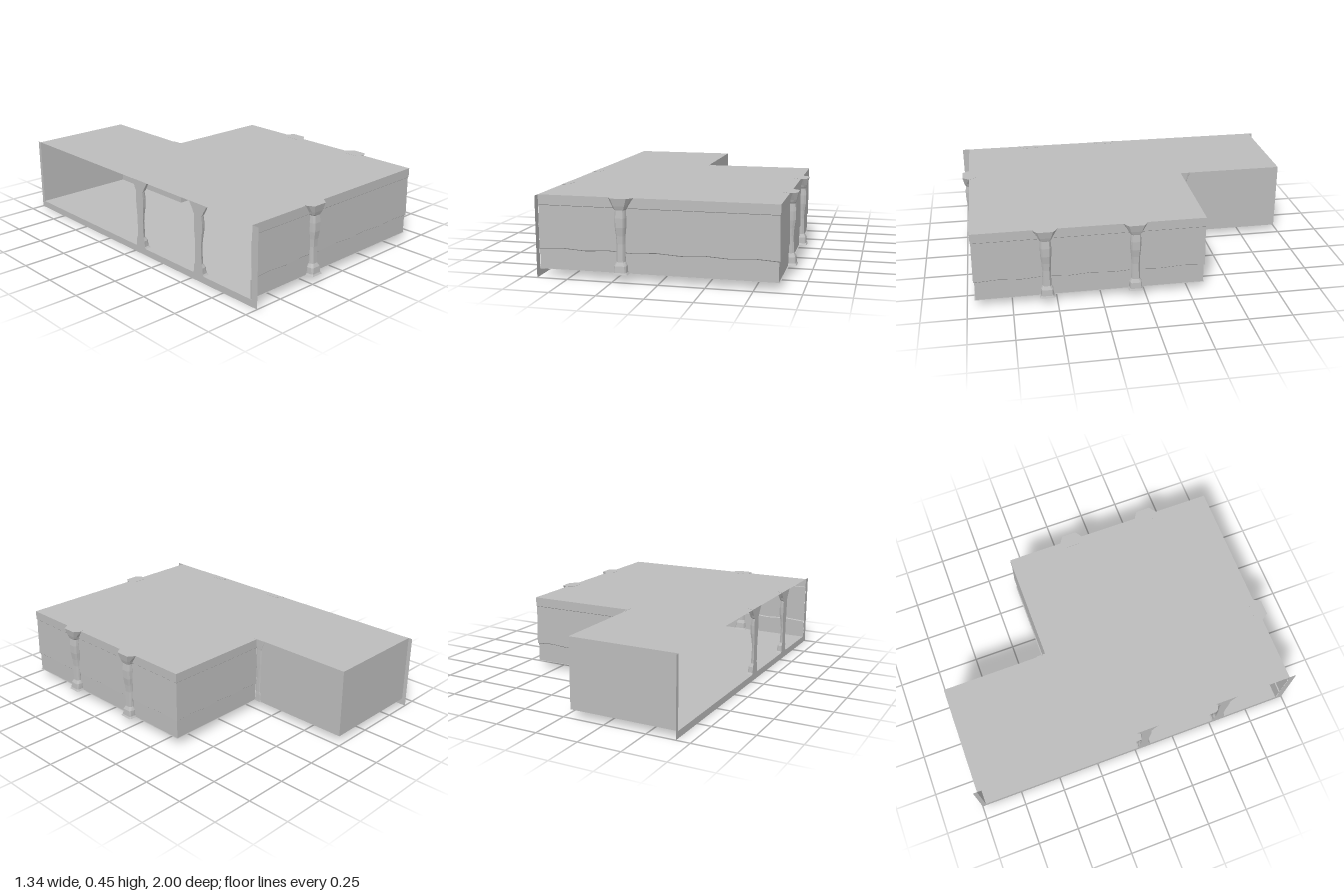
import * as THREE from 'three';

const FLOOR = 0.04, ROOF = 0.445;
const LEFT = -0.67, RIGHT = 0.63, FRONT = 0.958, BACK = -0.345, REAR = -0.976, STEP = -0.03;

// Faceted surface from rows of points: rows are joined by quads, triangles keep flat normals
function skin(rows, closed, capped) {
  const out = [];
  const tri = (a, b, c) => out.push(...a, ...b, ...c);
  for (let r = 0; r < rows.length - 1; r++) {
    const a = rows[r], b = rows[r + 1], n = a.length;
    for (let i = 0; i < (closed ? n : n - 1); i++) {
      const j = (i + 1) % n;
      tri(a[i], a[j], b[j]);
      tri(a[i], b[j], b[i]);
    }
  }
  if (capped) {
    const lo = rows[0], hi = rows[rows.length - 1];
    for (let i = 1; i < lo.length - 1; i++) {
      tri(lo[0], lo[i + 1], lo[i]);
      tri(hi[0], hi[i], hi[i + 1]);
    }
  }
  const g = new THREE.BufferGeometry();
  g.setAttribute('position', new THREE.Float32BufferAttribute(out, 3));
  g.computeVertexNormals();
  return g;
}

// Half column standing against a wall, bulging towards +z
function halfColumn() {
  // height, half width, depth, chamfer
  const levels = [
    [0.04, 0.043, 0.04, 0.006], [0.05, 0.036, 0.034, 0.008], [0.085, 0.035, 0.031, 0.01],
    [0.105, 0.025, 0.021, 0.01], [0.2, 0.024, 0.018, 0.01], [0.245, 0.026, 0.021, 0.01],
    [0.29, 0.031, 0.028, 0.012], [0.34, 0.032, 0.029, 0.012], [0.382, 0.029, 0.024, 0.011],
    [0.39, 0.037, 0.027, 0.012], [0.405, 0.043, 0.032, 0.013], [0.446, 0.07, 0.041, 0.027]
  ];
  const rows = levels.map(([y, w, d, c]) => [
    [-w, y, 0], [-w + c * 0.3, y, d - c], [-w + c, y, d], [w - c, y, d], [w - c * 0.3, y, d - c], [w, y, 0]
  ]);
  return skin(rows, true, true);
}

// Wall ribbon round the front, right side and back, with a wavy ledge and a cornice
function wallRibbon() {
  const corners = [[LEFT, FRONT], [RIGHT, FRONT], [RIGHT, BACK], [STEP, BACK]];
  const normals = [[0, 1], [1, 0], [0, -1]];
  const stations = [];
  for (let s = 0; s < 3; s++) {
    const [a, b] = [corners[s], corners[s + 1]];
    const n = 2 * Math.round(Math.hypot(b[0] - a[0], b[1] - a[1]) / 0.26);
    for (let i = s ? 1 : 0; i <= n; i++) {
      const t = i / n, nrm = [...normals[s]];
      if (i === n && s < 2) { nrm[0] += normals[s + 1][0]; nrm[1] += normals[s + 1][1]; }
      stations.push({ x: a[0] + (b[0] - a[0]) * t, z: a[1] + (b[1] - a[1]) * t, nrm, wave: i % 2 ? 0.157 : 0.149 });
    }
  }
  const row = (height, inset) => stations.map(p =>
    [p.x - p.nrm[0] * inset, height(p), p.z - p.nrm[1] * inset]);
  return skin([
    row(() => FLOOR, 0.006), row(p => p.wave - 0.002, 0.006), row(p => p.wave + 0.003, 0),
    row(() => 0.388, 0.003), row(() => 0.391, 0), row(() => ROOF, 0)
  ], false, false);
}

export function createModel() {
  const group = new THREE.Group();
  const stone = new THREE.MeshStandardMaterial({ color: 0xbcbcbc, side: THREE.DoubleSide });
  stone.name = 'plain grey';
  const add = (name, geometry, x = 0, y = 0, z = 0, turn = 0) => {
    const m = new THREE.Mesh(geometry, stone);
    m.name = name;
    m.position.set(x, y, z);
    m.rotation.y = turn;
    group.add(m);
    return m;
  };
  const shape = pts => new THREE.Shape(pts.map(p => new THREE.Vector2(...p)));

  // L-shaped floor and roof
  const slab = new THREE.ShapeGeometry(shape([
    [LEFT, -FRONT], [RIGHT, -FRONT], [RIGHT, -BACK], [STEP, -BACK], [STEP, -REAR], [LEFT, -REAR]
  ])).rotateX(-Math.PI / 2);
  add('floor', slab, 0, FLOOR);
  add('roof', slab, 0, ROOF);

  // Walls: detailed ribbon, then the two plain walls of the rear wing
  add('detailedWalls', wallRibbon());
  const h = ROOF - FLOOR, mid = (ROOF + FLOOR) / 2;
  add('rearWall', new THREE.PlaneGeometry(STEP - LEFT, h), (STEP + LEFT) / 2, mid, REAR, Math.PI);
  add('wingSideWall', new THREE.PlaneGeometry(BACK - REAR, h), STEP, mid, (BACK + REAR) / 2, Math.PI / 2);

  // U-shaped border round the open left side
  add('openSideFrame', new THREE.ShapeGeometry(shape([
    [-1, 0], [1, 0], [1, ROOF], [FRONT, ROOF], [FRONT, FLOOR], [REAR, FLOOR], [REAR, ROOF], [-1, ROOF]
  ])), LEFT, 0, 0, -Math.PI / 2);

  // Columns: through the walls, and cut flush in the open side
  const column = halfColumn();
  add('frontColumn', column, -0.21, 0, FRONT);
  add('frontColumnInside', column, -0.21, 0, FRONT, Math.PI);
  for (const z of [0.555, 0.056]) {
    add('sideColumn', column, RIGHT, 0, z, Math.PI / 2);
    add('sideColumnInside', column, RIGHT, 0, z, -Math.PI / 2);
    add('openSideColumn', column, LEFT, 0, z, Math.PI / 2);
  }

  // Shallow pilaster in the inner corner
  add('cornerPilaster', column, STEP, 0, BACK - 0.018, Math.PI / 2).scale.set(0.6, 1, 0.12);
  return group;
}
